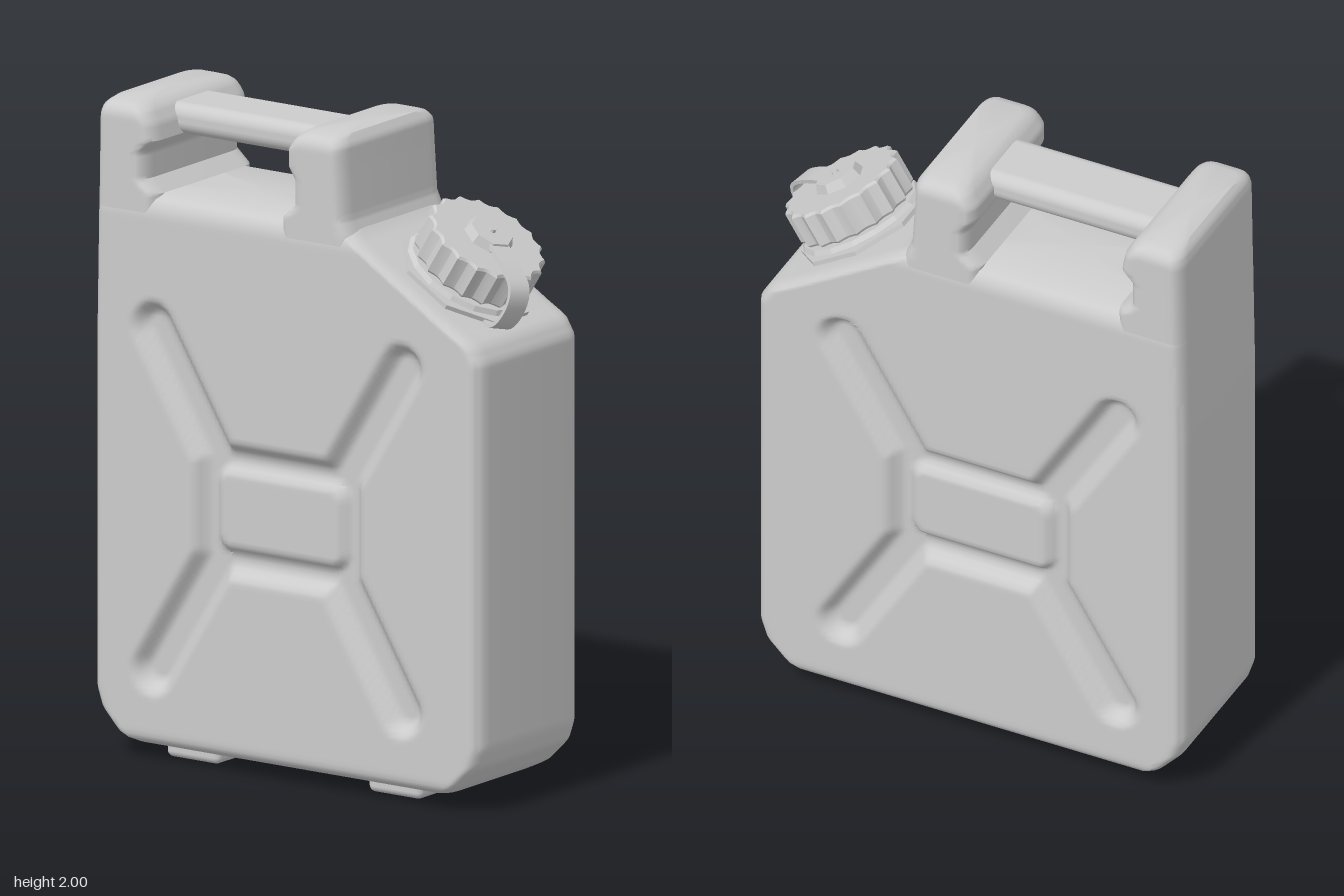
import * as THREE from 'three';
import { toCreasedNormals } from 'three/addons/utils/BufferGeometryUtils.js';
import { RoundedBoxGeometry } from 'three/addons/geometries/RoundedBoxGeometry.js';

const grey = new THREE.MeshStandardMaterial({ color: 0xcccccc });
const DEPTH = 0.258;

function add(parent, name, geometry, x = 0, y = 0, z = 0) {
  const mesh = new THREE.Mesh(geometry, grey);
  mesh.name = name;
  mesh.position.set(x, y, z);
  parent.add(mesh);
  return mesh;
}

// Piecewise linear lookup in [[y, value], ...]
function lookup(table, y) {
  for (let i = 1; i < table.length; i++) {
    const [y0, v0] = table[i - 1], [y1, v1] = table[i];
    if (y <= y1) return v0 + (v1 - v0) * Math.max(0, (y - y0) / (y1 - y0));
  }
  return table[table.length - 1][1];
}

// One horizontal section: front and back lines joined by rounded corners
function section(y, xl, xr, depthAt, n, rx = 0.035, rz = 0.06) {
  const half = [];
  const zl = depthAt(xl + rx, y), zr = depthAt(xr - rx, y), c = 6;
  for (let i = 0; i < c; i++) {
    const a = (i / c) * Math.PI / 2;
    half.push([xl + rx - rx * Math.cos(a), zl - rz + rz * Math.sin(a)]);
  }
  for (let i = 0; i <= n; i++) {
    const x = xl + rx + (xr - xl - 2 * rx) * i / n;
    half.push([x, depthAt(x, y)]);
  }
  for (let i = 1; i <= c; i++) {
    const a = (i / c) * Math.PI / 2;
    half.push([xr - rx + rx * Math.sin(a), zr - rz + rz * Math.cos(a)]);
  }
  const back = half.map(([x, z]) => [x, -z]).reverse();
  return [...half, ...back].map(([x, z]) => [x, y, z]);
}

// Skin over a stack of sections, closed at both ends
function loft(rows) {
  const m = rows[0].length, pos = rows.flat(2), index = [];
  for (let j = 0; j < rows.length - 1; j++) {
    for (let i = 0; i < m; i++) {
      const a = j * m + i, b = j * m + (i + 1) % m;
      index.push(a, b, b + m, a, b + m, a + m);
    }
  }
  [0, rows.length - 1].forEach((j, top) => {
    const centre = pos.length / 3;
    const mean = rows[j].reduce((s, p) => s + p[0], 0) / m;
    pos.push(mean, rows[j][0][1], 0);
    for (let i = 0; i < m; i++) {
      const a = j * m + i, b = j * m + (i + 1) % m;
      index.push(...(top ? [a, b, centre] : [b, a, centre]));
    }
  });
  const g = new THREE.BufferGeometry();
  g.setAttribute('position', new THREE.Float32BufferAttribute(pos, 3));
  g.setIndex(index);
  return toCreasedNormals(g, 0.8);
}

// Signed distances for the pressed relief
const boxDist = (x, y, hx, hy, r) => {
  const qx = Math.abs(x) - hx + r, qy = Math.abs(y) - hy + r;
  return Math.hypot(Math.max(qx, 0), Math.max(qy, 0)) + Math.min(Math.max(qx, qy), 0) - r;
};
const armDist = (x, y) => {
  const ax = 0.22, ay = 0.14, bx = 0.235, by = 0.385;
  const t = THREE.MathUtils.clamp(((x - ax) * bx + (y - ay) * by) / (bx * bx + by * by), 0, 1);
  return Math.hypot(x - ax - bx * t, y - ay - by * t) - 0.078;
};

// Quarter-round inset near an edge, t runs 0..1 towards the edge
const roundOff = (t, r) => r * (1 - Math.sqrt(1 - THREE.MathUtils.clamp(t, 0, 1) ** 2));

function bodyDepth(x, y) {
  const u = Math.abs(x + 0.05), v = y - 0.805;
  const groove = Math.min(armDist(u, Math.abs(v)), boxDist(u, v, 0.31, 0.21, 0.06));
  const plate = boxDist(u, v, 0.225, 0.12, 0.04);
  const sink = 0.045 * THREE.MathUtils.smoothstep(-groove, -0.005, 0.045);
  const lift = 0.03 * THREE.MathUtils.smoothstep(-plate, -0.02, 0.012);
  return DEPTH - sink + lift - roundOff((0.085 - y) / 0.04, 0.035) - roundOff((y - 1.66) / 0.07, 0.055);
}

function bodyGeometry() {
  const left = [[0.045, -0.6], [0.07, -0.645], [0.14, -0.71], [0.2, -0.73], [1.3, -0.73], [2, -0.718]];
  const right = [[0.045, 0.55], [0.07, 0.6], [0.14, 0.67], [0.2, 0.69], [1.38, 0.69], [1.43, 0.66],
    [1.47, 0.59], [1.7, 0.22], [1.73, 0.19]];
  const rows = [], count = 116;
  for (let j = 0; j <= count; j++) {
    const y = 0.045 + (1.73 - 0.045) * j / count;
    rows.push(section(y, lookup(left, y), lookup(right, y), bodyDepth, 92));
  }
  return loft(rows);
}

// Upright block at one end of the handle
function postGeometry(left, right) {
  const rows = [];
  for (let j = 0; j <= 36; j++) {
    const y = 1.64 + 0.36 * j / 36;
    const depth = () => DEPTH - 0.001 - roundOff((y - 1.95) / 0.05, 0.05);
    rows.push(section(y, lookup(left, y), lookup(right, y), depth, 8));
  }
  return loft(rows);
}

// Fluted screw cap outline
function fluted(lobes, radius, dip) {
  const pts = [], steps = lobes * 4;
  for (let i = 0; i < steps; i++) {
    const a = (i / steps) * Math.PI * 2;
    const r = radius - dip * Math.abs(Math.sin(a * lobes / 2));
    pts.push(new THREE.Vector2(r * Math.cos(a), r * Math.sin(a)));
  }
  return new THREE.Shape(pts);
}

// Flat band following a curve, extruded to its width
function strapGeometry(width, thick) {
  const curve = new THREE.CatmullRomCurve3([
    [0.03, 0.178], [0.16, 0.176], [0.23, 0.158], [0.255, 0.11], [0.25, 0.04], [0.225, 0.008], [0.17, 0.006],
  ].map(([x, y]) => new THREE.Vector3(x, y, 0)));
  const outer = [], inner = [];
  for (let i = 0; i <= 24; i++) {
    const p = curve.getPoint(i / 24), t = curve.getTangent(i / 24);
    outer.push(new THREE.Vector2(p.x - t.y * thick / 2, p.y + t.x * thick / 2));
    inner.push(new THREE.Vector2(p.x + t.y * thick / 2, p.y - t.x * thick / 2));
  }
  const g = new THREE.ExtrudeGeometry(new THREE.Shape([...outer, ...inner.reverse()]),
    { depth: width, bevelEnabled: false });
  return toCreasedNormals(g.translate(0, 0, -width / 2), 0.6);
}

const disc = (rTop, rBottom, h, sides) =>
  toCreasedNormals(new THREE.CylinderGeometry(rTop, rBottom, h, sides), 0.3);

export function createModel() {
  const model = new THREE.Group();
  model.name = 'fuelCan';

  add(model, 'body', bodyGeometry());

  // Handle posts and grip bar
  add(model, 'rearPost', postGeometry(
    [[1.3, -0.73], [1.95, -0.719], [1.98, -0.712], [2, -0.695]],
    [[1.64, -0.5], [1.73, -0.5], [1.77, -0.545], [1.85, -0.545], [1.89, -0.51], [1.94, -0.52], [1.98, -0.545], [2, -0.575]]));
  add(model, 'frontPost', postGeometry(
    [[1.64, -0.05], [1.73, -0.05], [1.77, -0.005], [1.85, -0.005], [1.89, -0.03], [1.94, -0.03], [1.98, -0.005], [2, 0.02]],
    [[1.64, 0.22], [1.7, 0.21], [1.75, 0.188], [1.9, 0.178], [1.97, 0.174], [2, 0.155]]));
  add(model, 'handleBar', new RoundedBoxGeometry(0.64, 0.095, 0.225, 4, 0.04), -0.28, 1.932, 0);

  // Feet
  for (const x of [-0.415, 0.325]) {
    add(model, 'foot', new RoundedBoxGeometry(0.195, 0.09, 0.37, 3, 0.02), x, 0.045, 0);
  }

  // Tilted spout with screw cap
  const spout = new THREE.Group();
  spout.name = 'spout';
  spout.position.set(0.452, 1.565, 0);
  spout.rotation.z = -0.558;
  model.add(spout);

  add(spout, 'neck', disc(0.15, 0.15, 0.13, 24), 0, 0, 0);
  add(spout, 'strapRing', disc(0.215, 0.215, 0.014, 8), 0, 0.008, 0).rotation.y = Math.PI / 8;
  add(spout, 'sealRing', disc(0.19, 0.2, 0.014, 16), 0, 0.033, 0);
  const cap = new THREE.ExtrudeGeometry(fluted(18, 0.184, 0.014),
    { depth: 0.1, bevelEnabled: true, bevelThickness: 0.008, bevelSize: 0.006, bevelSegments: 1 });
  cap.rotateX(-Math.PI / 2);
  add(spout, 'screwCap', toCreasedNormals(cap, 0.4), 0, 0.054, 0);
  add(spout, 'capBoss', disc(0.068, 0.08, 0.03, 8), 0, 0.175, 0);
  add(spout, 'capPin', disc(0.01, 0.012, 0.01, 8), 0, 0.194, 0);
  add(spout, 'retainingStrap', strapGeometry(0.07, 0.012)).rotation.y = -0.4;

  return model;
}
